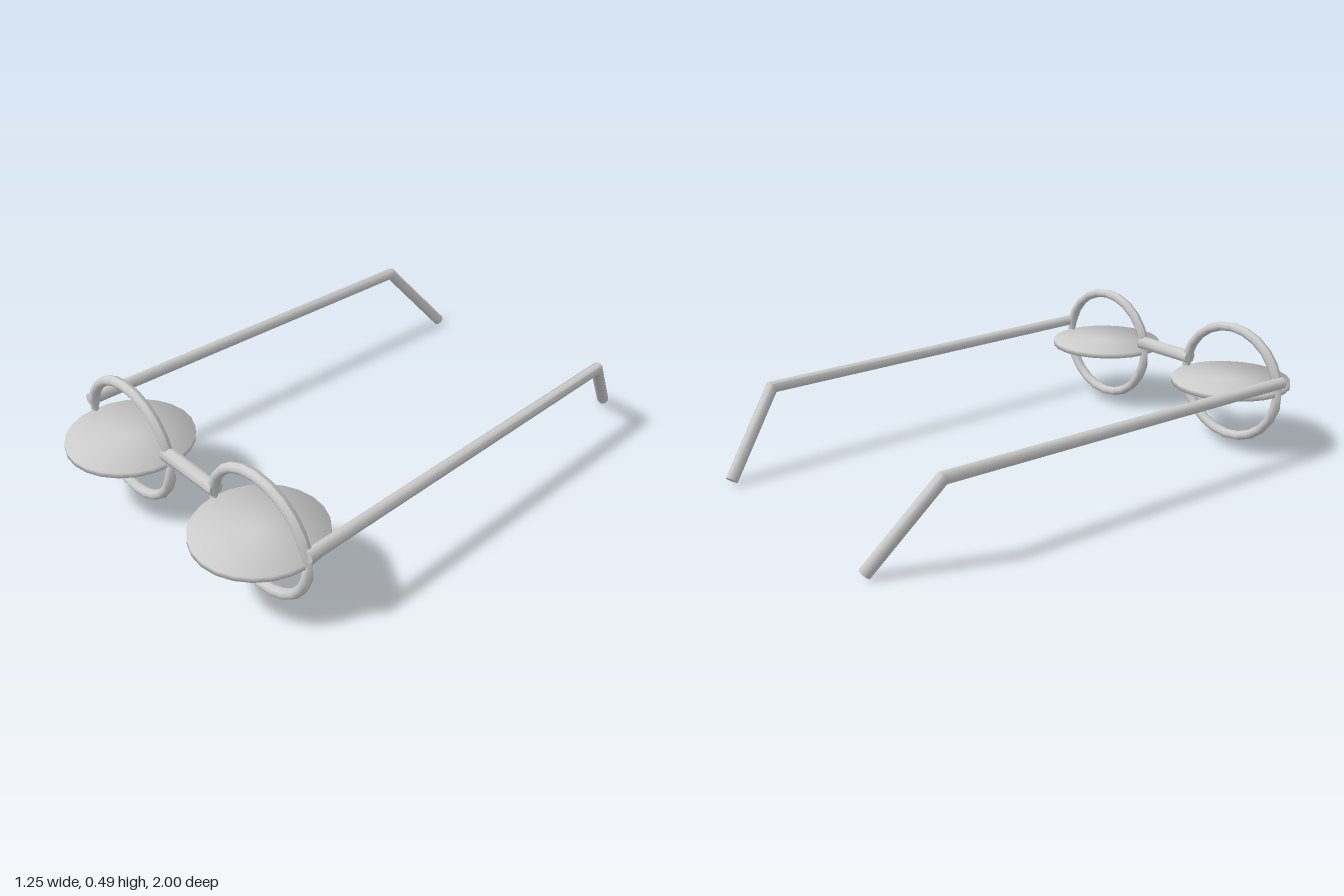
import * as THREE from 'three';
import { toCreasedNormals } from 'three/addons/utils/BufferGeometryUtils.js';

const FRONT_Z = 0.767;
const LENS_X = 0.357;

// Two-segment rod with a mitred elbow and closed ends
function bentRod(points, radius) {
  const geo = new THREE.CylinderGeometry(1, 1, 2, 8, 2);
  geo.rotateX(Math.PI / 2);
  const [p0, p1, p2] = points;
  const d1 = p1.clone().sub(p0).normalize();
  const d2 = p2.clone().sub(p1).normalize();
  const mitre = d1.clone().add(d2).normalize();
  const slide = (v, dir, centre, normal) =>
    v.addScaledVector(dir, centre.clone().sub(v).dot(normal) / dir.dot(normal));
  const pos = geo.attributes.position;
  const v = new THREE.Vector3();
  for (let i = 0; i < pos.count; i++) {
    const ring = Math.round(1 - pos.getZ(i));
    v.set(pos.getX(i) * radius, pos.getY(i) * radius, 0).add(p0);
    slide(v, d1, p0, d1);
    if (ring > 0) slide(v, d1, p1, mitre);
    if (ring > 1) slide(v, d2, p2, d2);
    pos.setXYZ(i, v.x, v.y, v.z);
  }
  return toCreasedNormals(geo, 0.8);
}

// Slightly wide rim, pinched where its upper and lower arcs meet
function rimGeometry() {
  const geo = new THREE.TorusGeometry(0.22, 0.018, 8, 24);
  const pos = geo.attributes.position;
  for (let i = 0; i < pos.count; i++) {
    const pinch = Math.abs(pos.getY(i)) < 0.01 ? 0.45 : 1.18;
    pos.setXYZ(i, pos.getX(i) * 1.075, pos.getY(i), pos.getZ(i) * pinch);
  }
  geo.computeVertexNormals();
  return geo;
}

// Flat disc whose soft normals lean outward at the edge
function lensGeometry() {
  const geo = new THREE.CylinderGeometry(0.232, 0.232, 0.02, 24);
  const pos = geo.attributes.position;
  const n = new THREE.Vector3();
  for (let i = 0; i < pos.count; i++) {
    n.set(pos.getX(i) / 0.232, Math.sign(pos.getY(i)), pos.getZ(i) / 0.232).normalize();
    geo.attributes.normal.setXYZ(i, n.x, n.y, n.z);
  }
  return geo;
}

export function createModel() {
  const model = new THREE.Group();
  model.name = 'spectacles';
  const grey = new THREE.MeshStandardMaterial({ color: 0xcccccc });
  grey.name = 'light grey';

  const add = (name, geo, x = 0, y = 0, z = 0) => {
    const mesh = new THREE.Mesh(geo, grey);
    mesh.name = name;
    mesh.position.set(x, y, z);
    model.add(mesh);
    return mesh;
  };

  const rim = rimGeometry();
  const lens = lensGeometry();
  for (const [side, s] of [['left', 1], ['right', -1]]) {
    add(side + 'Rim', rim, s * LENS_X, 0.25, FRONT_Z);
    // Lenses lie level across the rims
    add(side + 'Lens', lens, s * 0.36, 0.253, FRONT_Z);
    // Temple arm with its drooping ear tip
    add(side + 'Temple', bentRod([
      new THREE.Vector3(s * 0.603, 0.302, 0.777),
      new THREE.Vector3(s * 0.558, 0.302, -0.752),
      new THREE.Vector3(s * 0.463, 0.016, -0.982),
    ], 0.023));
  }

  // Nose bridge
  const bridge = new THREE.CylinderGeometry(0.028, 0.028, 0.28, 8);
  bridge.rotateZ(Math.PI / 2);
  add('bridge', toCreasedNormals(bridge, 0.9), 0, 0.298, FRONT_Z);

  return model;
}
